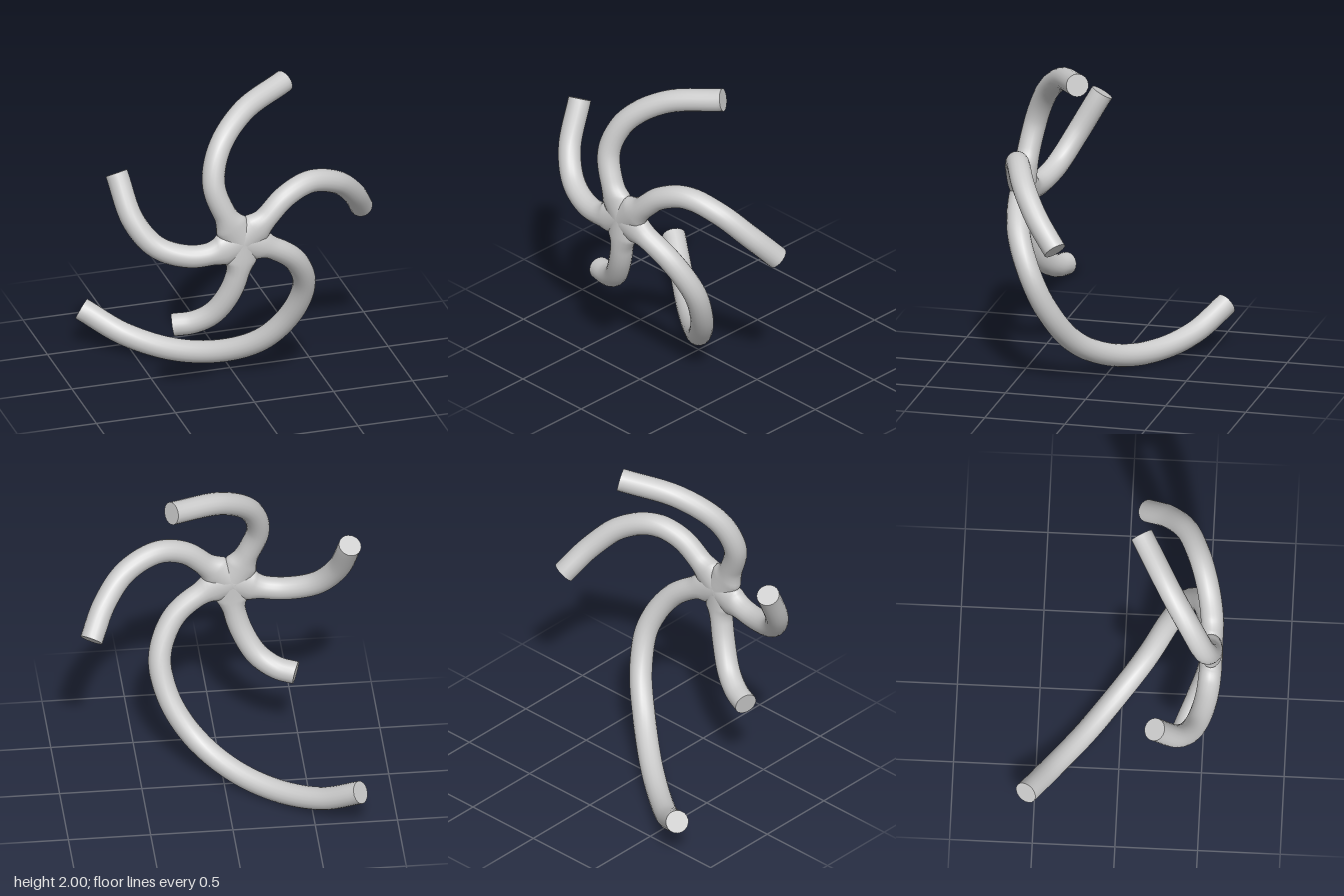
import * as THREE from 'three';

const RADIUS = 0.07, SIDES = 18, STEPS = 64;
const HUB = [-0.1, 1.12, 0.54];
const material = new THREE.MeshStandardMaterial({ color: 0xcccccc, side: THREE.DoubleSide });

// Centre lines of the five curling arms, each starting at the hub
const arms = {
  upperArm: [[-0.19, 1.29, 0.54], [-0.26, 1.5, 0.505], [-0.2, 1.7, 0.425], [-0.01, 1.855, 0.285], [0.31, 1.93, 0.1]],
  leftArm: [[0.04, 1.23, 0.54], [0.19, 1.36, 0.51], [0.36, 1.41, 0.455], [0.56, 1.34, 0.37], [0.7, 1.195, 0.255], [0.795, 1.03, 0.115]],
  longArm: [[0.06, 1.06, 0.53], [0.25, 0.925, 0.48], [0.35, 0.71, 0.385], [0.31, 0.47, 0.28], [0.16, 0.245, 0.15],
    [-0.05, 0.115, -0.02], [-0.3, 0.073, -0.21], [-0.55, 0.125, -0.4], [-0.77, 0.255, -0.55]],
  lowerArm: [[-0.11, 0.95, 0.54], [-0.155, 0.78, 0.515], [-0.25, 0.62, 0.46], [-0.36, 0.55, 0.41], [-0.475, 0.53, 0.37]],
  rightArm: [[-0.25, 1.065, 0.54], [-0.42, 1.05, 0.52], [-0.61, 1.115, 0.46], [-0.73, 1.27, 0.375], [-0.79, 1.53, 0.23]],
};

// Sweeps an elliptical section along the curve, widening it towards the hub
function armGeometry(points) {
  const curve = new THREE.CatmullRomCurve3([HUB, ...points].map((p) => new THREE.Vector3(...p)));
  const length = curve.getLength();
  const front = new THREE.Vector3(0, 0, 1);
  const positions = [], index = [];

  for (let i = 0; i <= STEPS; i++) {
    const u = (i / STEPS) ** 1.3; // closer rings near the hub
    const centre = curve.getPointAt(u);
    const tangent = curve.getTangentAt(u);
    const across = front.clone().cross(tangent).normalize();
    const up = tangent.clone().cross(across);
    const flare = Math.min(1, Math.max(0, (0.23 - u * length) / 0.1));
    const width = RADIUS + 0.033 * flare * flare;
    for (let j = 0; j < SIDES; j++) {
      const a = (j / SIDES) * Math.PI * 2;
      const p = centre.clone()
        .addScaledVector(across, Math.cos(a) * width)
        .addScaledVector(up, Math.sin(a) * RADIUS);
      positions.push(p.x, p.y, p.z);
      if (i < STEPS) {
        const k = (j + 1) % SIDES, r = i * SIDES, s = r + SIDES;
        index.push(r + j, r + k, s + j, r + k, s + k, s + j);
      }
    }
  }

  // Flat cap at the tip, with its own vertices for a sharp rim
  const rim = positions.slice(-SIDES * 3);
  const first = positions.length / 3;
  const tip = curve.getPointAt(1);
  positions.push(...rim, tip.x, tip.y, tip.z);
  for (let j = 0; j < SIDES; j++) index.push(first + SIDES, first + j, first + ((j + 1) % SIDES));

  const geometry = new THREE.BufferGeometry();
  geometry.setAttribute('position', new THREE.Float32BufferAttribute(positions, 3));
  geometry.setIndex(index);
  geometry.computeVertexNormals();
  return geometry;
}

export function createModel() {
  const group = new THREE.Group();
  group.name = 'fiveArmedSpiral';
  for (const [name, points] of Object.entries(arms)) {
    const mesh = new THREE.Mesh(armGeometry(points), material);
    mesh.name = name;
    group.add(mesh);
  }
  return group;
}
